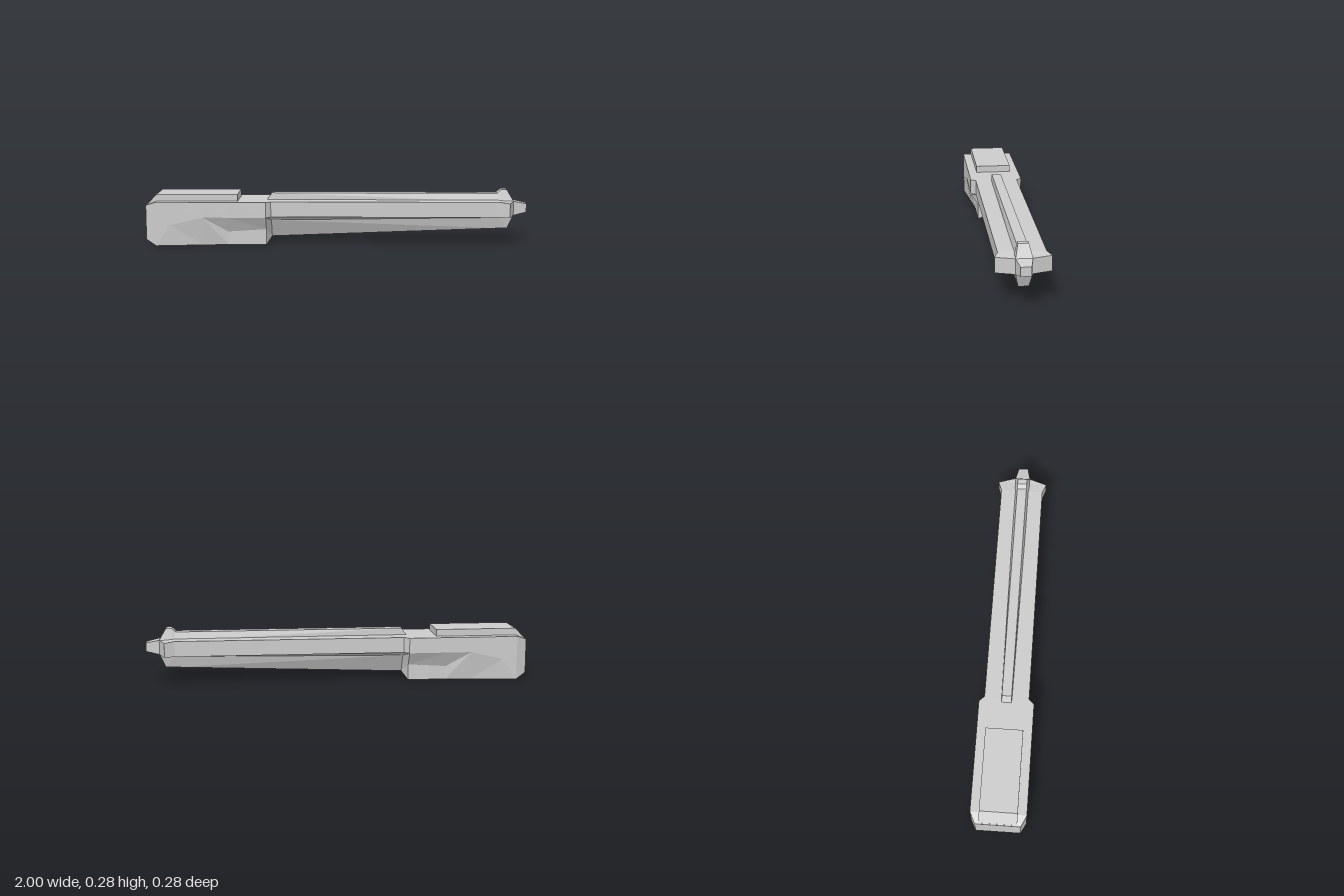
import * as THREE from 'three';

const material = new THREE.MeshStandardMaterial({ color: 0xcccccc, flatShading: true });

// Skins a row of sections along x. Each section is [x, [z, y], ...], listing the
// +z half from top to bottom; the -z half is mirrored.
function loft(name, sections) {
  const rings = sections.map(([x, ...half]) => [
    ...half.map(([z, y]) => [x, y, z]),
    ...half.slice().reverse().map(([z, y]) => [x, y, -z]),
  ]);
  const n = rings[0].length;
  const pos = [];
  const tri = (a, b, c) => pos.push(...a, ...b, ...c);
  for (let i = 0; i < rings.length - 1; i++) {
    for (let j = 0; j < n; j++) {
      const k = (j + 1) % n;
      const a = rings[i][j], b = rings[i][k], c = rings[i + 1][k], d = rings[i + 1][j];
      // the diagonal is mirrored too, so both sides fold alike
      if (j < n / 2) { tri(a, b, c); tri(a, c, d); }
      else { tri(a, b, d); tri(b, c, d); }
    }
  }
  const first = rings[0], last = rings[rings.length - 1];
  for (let j = 1; j < n - 1; j++) {
    tri(first[0], first[j + 1], first[j]);
    tri(last[0], last[j], last[j + 1]);
  }
  const geometry = new THREE.BufferGeometry();
  geometry.setAttribute('position', new THREE.Float32BufferAttribute(pos, 3));
  geometry.computeVertexNormals();
  const mesh = new THREE.Mesh(geometry, material);
  mesh.name = name;
  return mesh;
}

export function createModel() {
  const group = new THREE.Group();
  group.name = 'barrelledBody';

  // Chamfered rear housing with carved lower flanks, stepping into the barrel root
  group.add(loft('housing', [
    [-1, [0.115, 0.21], [0.115, 0.03], [0.115, 0.03], [0.115, 0.03]],
    [-0.945, [0.142, 0.23], [0.142, 0], [0.142, 0], [0.142, 0]],
    [-0.87, [0.142, 0.23], [0.142, 0.11], [0.142, 0.11], [0.134, 0]],
    [-0.7, [0.142, 0.23], [0.142, 0.15], [0.142, 0.15], [0.115, 0]],
    [-0.57, [0.142, 0.23], [0.142, 0.15], [0.102, 0.07], [0.102, 0]],
    [-0.37, [0.142, 0.23], [0.142, 0.15], [0.102, 0.083], [0.102, 0]],
    [-0.345, [0.115, 0.23], [0.115, 0.15], [0.075, 0.128], [0.025, 0.033]],
  ]));

  // Winged barrel with a keel, flared at the end and closing on a small nose
  group.add(loft('barrel', [
    [-0.345, [0.115, 0.23], [0.115, 0.15], [0.075, 0.128], [0.025, 0.033]],
    [0.85, [0.113, 0.23], [0.113, 0.15], [0.042, 0.138], [0.025, 0.078]],
    [0.9, [0.132, 0.225], [0.132, 0.15], [0.04, 0.148], [0.025, 0.08]],
    [0.93, [0.04, 0.225], [0.04, 0.15], [0.04, 0.15], [0.04, 0.15]],
    [1, [0.025, 0.21], [0.025, 0.165], [0.025, 0.165], [0.025, 0.165]],
  ]));

  // Raised rib on top, ending in a sight bump
  group.add(loft('topRib', [
    [-0.37, [0.025, 0.23], [0.025, 0.222]],
    [-0.345, [0.025, 0.265], [0.028, 0.222]],
    [0.845, [0.025, 0.265], [0.038, 0.222]],
    [0.865, [0.025, 0.285], [0.04, 0.222]],
    [0.895, [0.025, 0.285], [0.04, 0.222]],
    [0.93, [0.04, 0.225], [0.04, 0.222]],
  ]));

  // Flat cover plate on the housing, sloped at the rear
  group.add(loft('coverPlate', [
    [-0.995, [0.096, 0.214], [0.096, 0.21]],
    [-0.945, [0.096, 0.266], [0.096, 0.22]],
    [-0.52, [0.096, 0.266], [0.096, 0.22]],
  ]));

  return group;
}
